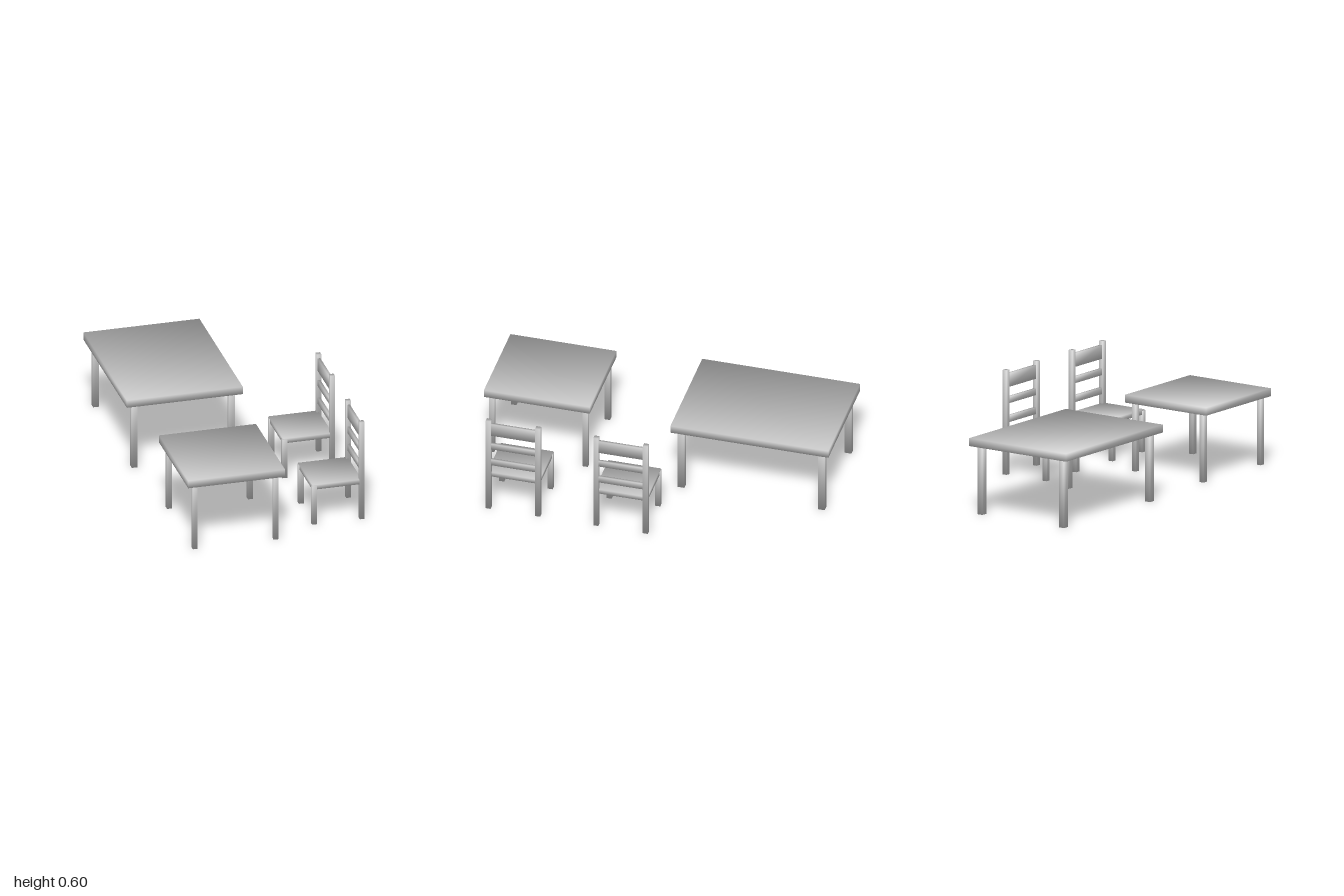
import * as THREE from 'three';

const material = new THREE.MeshStandardMaterial({ color: 0xcccccc });

// Box given by its limits on each axis, with soft normals averaged at the corners
function block(name, [x0, x1], [y0, y1], [z0, z1]) {
  const geometry = new THREE.BoxGeometry(x1 - x0, y1 - y0, z1 - z0);
  const p = geometry.attributes.position;
  const n = geometry.attributes.normal;
  const s = 1 / Math.sqrt(3);
  for (let i = 0; i < p.count; i++) {
    n.setXYZ(i, Math.sign(p.getX(i)) * s, Math.sign(p.getY(i)) * s, Math.sign(p.getZ(i)) * s);
  }
  const mesh = new THREE.Mesh(geometry, material);
  mesh.name = name;
  mesh.position.set((x0 + x1) / 2, (y0 + y1) / 2, (z0 + z1) / 2);
  return mesh;
}

// Span of a given width lying just inside +outer or -outer
const inside = (side, outer, width) =>
  side > 0 ? [outer - width, outer] : [-outer, width - outer];

// Slab top on four legs; insets and leg sizes are [x, z]
function createTable(name, width, depth, inset, leg) {
  const table = new THREE.Group();
  table.name = name;
  table.add(block('tableTop', [-width / 2, width / 2], [0.389, 0.434], [-depth / 2, depth / 2]));
  for (const sx of [-1, 1]) {
    for (const sz of [-1, 1]) {
      table.add(block('tableLeg',
        inside(sx, width / 2 - inset[0], leg[0]),
        [0, 0.39],
        inside(sz, depth / 2 - inset[1], leg[1])));
    }
  }
  return table;
}

// Ladder-back chair facing -x, with its back posts at +x
function createChair(name) {
  const chair = new THREE.Group();
  chair.name = name;
  chair.add(block('seat', [0.255, 0.54], [0.213, 0.241], [-0.151, 0.151]));
  for (const side of [-1, 1]) {
    chair.add(block('frontLeg', [0.252, 0.281], [0, 0.235], inside(side, 0.154, 0.029)));
    chair.add(block('backPost', [0.526, 0.553], [0, 0.595], inside(side, 0.157, 0.029)));
  }
  // Back slats, the top one wider
  for (const span of [[0.294, 0.332], [0.402, 0.439], [0.495, 0.573]]) {
    chair.add(block('backSlat', [0.532, 0.547], span, [-0.135, 0.135]));
  }
  return chair;
}

export function createModel() {
  const model = new THREE.Group();
  model.name = 'diningSet';

  const largeTable = createTable('largeTable', 0.668, 0.91, [0.037, 0.031], [0.033, 0.039]);
  largeTable.position.set(-0.223, 0, -0.545);

  const smallTable = createTable('smallTable', 0.558, 0.61, [0.032, 0.02], [0.028, 0.031]);
  smallTable.position.set(-0.224, 0, 0.695);

  model.add(largeTable, smallTable);

  for (const [name, z] of [['rearChair', 0.076], ['frontChair', 0.696]]) {
    const chair = createChair(name);
    chair.position.z = z;
    model.add(chair);
  }
  return model;
}
